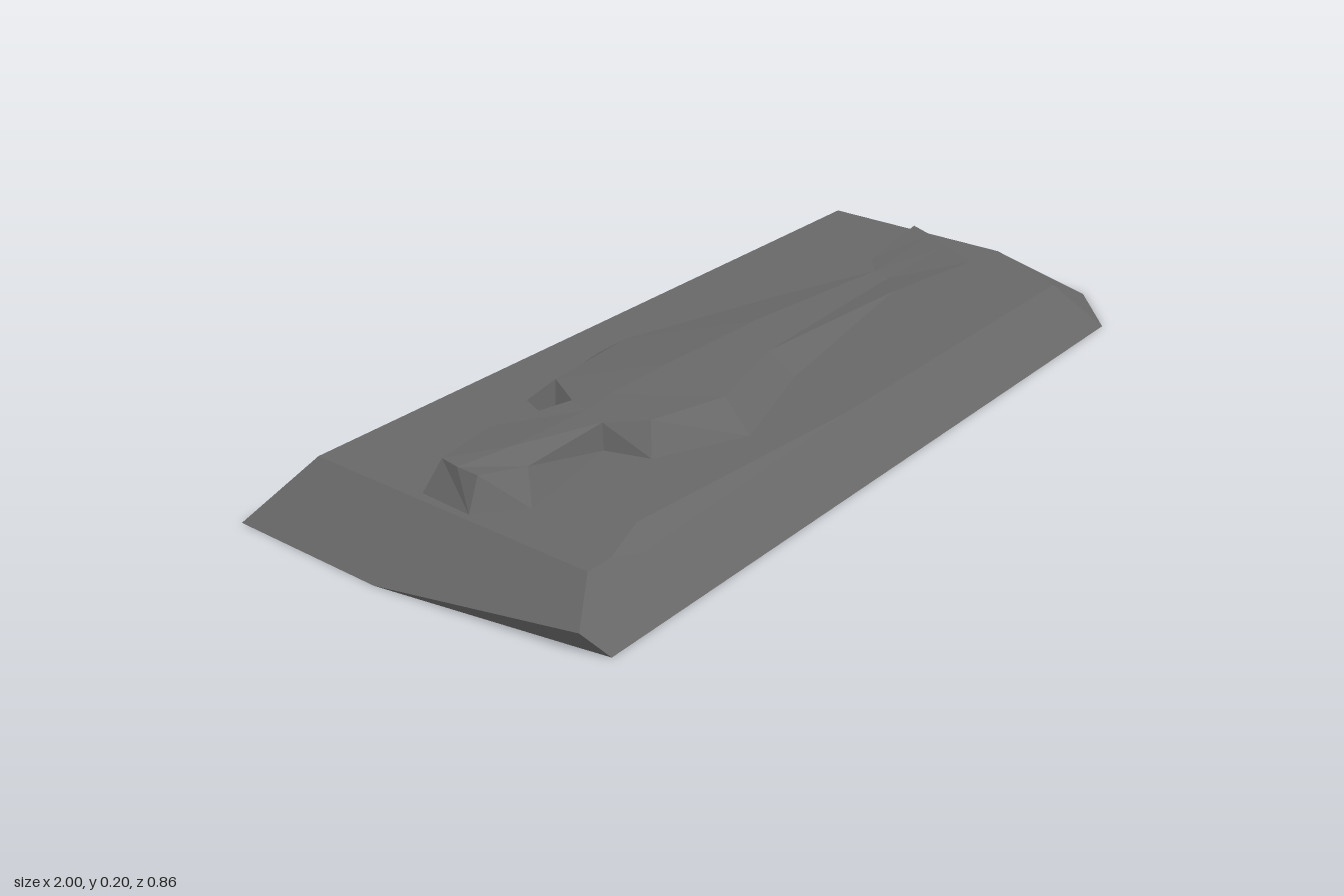
import * as THREE from 'three';

const TOP = 0.117;

// Collects flat polygons, fanned from their first corner
function facets() {
  const pos = [];
  return {
    face(...p) {
      for (let i = 1; i < p.length - 1; i++) pos.push(...p[0], ...p[i], ...p[i + 1]);
    },
    mesh(name, material) {
      const g = new THREE.BufferGeometry();
      g.setAttribute('position', new THREE.Float32BufferAttribute(pos, 3));
      g.computeVertexNormals();
      const m = new THREE.Mesh(g, material);
      m.name = name;
      return m;
    },
  };
}

// Bevelled slab with chipped corners: columns of [base xz, top xz, optional chip point]
function makeSlab(material) {
  const columns = [
    [[-1, -0.43], [-0.87, -0.345]],
    [[-0.75, -0.43], [-0.75, -0.345]],
    [[-0.5, -0.375], [-0.54, -0.345], [-0.54, 0.06, -0.387]],
    [[-0.44, -0.43], [-0.44, -0.345]],
    [[0.76, -0.43], [0.76, -0.345]],
    [[0.88, -0.395], [0.86, -0.345], [0.95, 0.04, -0.4]],
    [[1, -0.36], [0.86, -0.345]],
    [[1, 0.3], [0.86, 0.13]],
    [[0.85, 0.43], [0.75, 0.345]],
    [[-0.1, 0.43], [-0.1, 0.345]],
    [[-0.74, 0.43], [-0.74, 0.358, 0.099]],
    [[-0.81, 0.43], [-0.81, 0.345]],
    [[-0.91, 0.43], [-0.87, 0.345]],
    [[-0.925, 0.35], [-0.87, 0.345], [-0.945, 0.05, 0.39]],
    [[-1, -0.06], [-0.87, -0.06]],
  ].map(([b, t, chip]) => {
    const base = [b[0], 0, b[1]];
    return { base, mid: chip ?? base, top: [t[0], t[2] ?? TOP, t[1]] };
  });
  const f = facets();
  const dent = [-0.69, TOP, 0.3];
  columns.forEach((a, i) => {
    const b = columns[(i + 1) % columns.length];
    f.face([0, 0, 0], a.base, b.base);
    f.face(dent, b.top, a.top);
    // Undercut below a chip, then the sloping side above it
    if (a.mid !== a.base) f.face(a.base, a.mid, b.base);
    if (b.mid !== b.base) f.face(a.base, b.mid, b.base);
    if (b.mid !== b.base) f.face(b.mid, a.mid, a.top, b.top);
    else f.face(a.mid, a.top, b.top, b.mid);
  });
  return f.mesh('slab', material);
}

// Reclining figure lofted from head to feet:
// [back foot xz, back edge xyz, spine xyz, front edge xyz, front foot xz]
function makeFigure(material) {
  const sections = [
    [[-0.85, -0.08], [-0.81, 0.178, -0.065], [-0.82, 0.18, -0.015], [-0.82, 0.18, 0.037], [-0.855, 0.045]],
    [[-0.68, -0.107], [-0.67, 0.183, -0.08], [-0.72, 0.197, 0.03], [-0.74, 0.18, 0.085], [-0.77, 0.12]],
    [[-0.5, -0.075], [-0.47, 0.168, -0.055], [-0.49, 0.17, 0], [-0.51, 0.17, 0.06], [-0.52, 0.07]],
    [[-0.45, -0.2], [-0.41, 0.163, -0.155], [-0.42, 0.18, 0], [-0.46, 0.18, 0.14], [-0.49, 0.165]],
    [[-0.19, -0.24], [-0.17, 0.16, -0.18], [-0.25, 0.187, 0.01], [-0.3, 0.185, 0.195], [-0.3, 0.255]],
    [[0.23, -0.13], [0.19, 0.152, -0.09], [0.05, 0.175, 0], [-0.06, 0.176, 0.12], [-0.03, 0.165]],
    [[0.65, -0.06], [0.565, 0.147, -0.043], [0.5, 0.15, 0.01], [0.48, 0.15, 0.06], [0.485, 0.07]],
    [[0.845, -0.075], [0.78, 0.163, -0.062], [0.74, 0.168, 0.01], [0.69, 0.172, 0.085], [0.76, 0.115]],
  ].map((s) => s.map((p) => (p.length === 2 ? [p[0], TOP, p[1]] : p)));
  const f = facets();
  for (let i = 0; i < sections.length - 1; i++) {
    const a = sections[i], b = sections[i + 1];
    for (let j = 0; j < 4; j++) f.face(a[j], a[j + 1], b[j + 1], b[j]);
  }
  // Head and foot ends
  f.face(...[...sections[0]].reverse());
  f.face(...sections[sections.length - 1]);
  return f.mesh('recliningFigure', material);
}

export function createModel() {
  const stone = new THREE.MeshStandardMaterial({ color: 0x686868, flatShading: true });
  stone.name = 'dark stone';
  const group = new THREE.Group();
  group.name = 'carvedStoneLid';
  group.add(makeSlab(stone), makeFigure(stone));
  return group;
}
